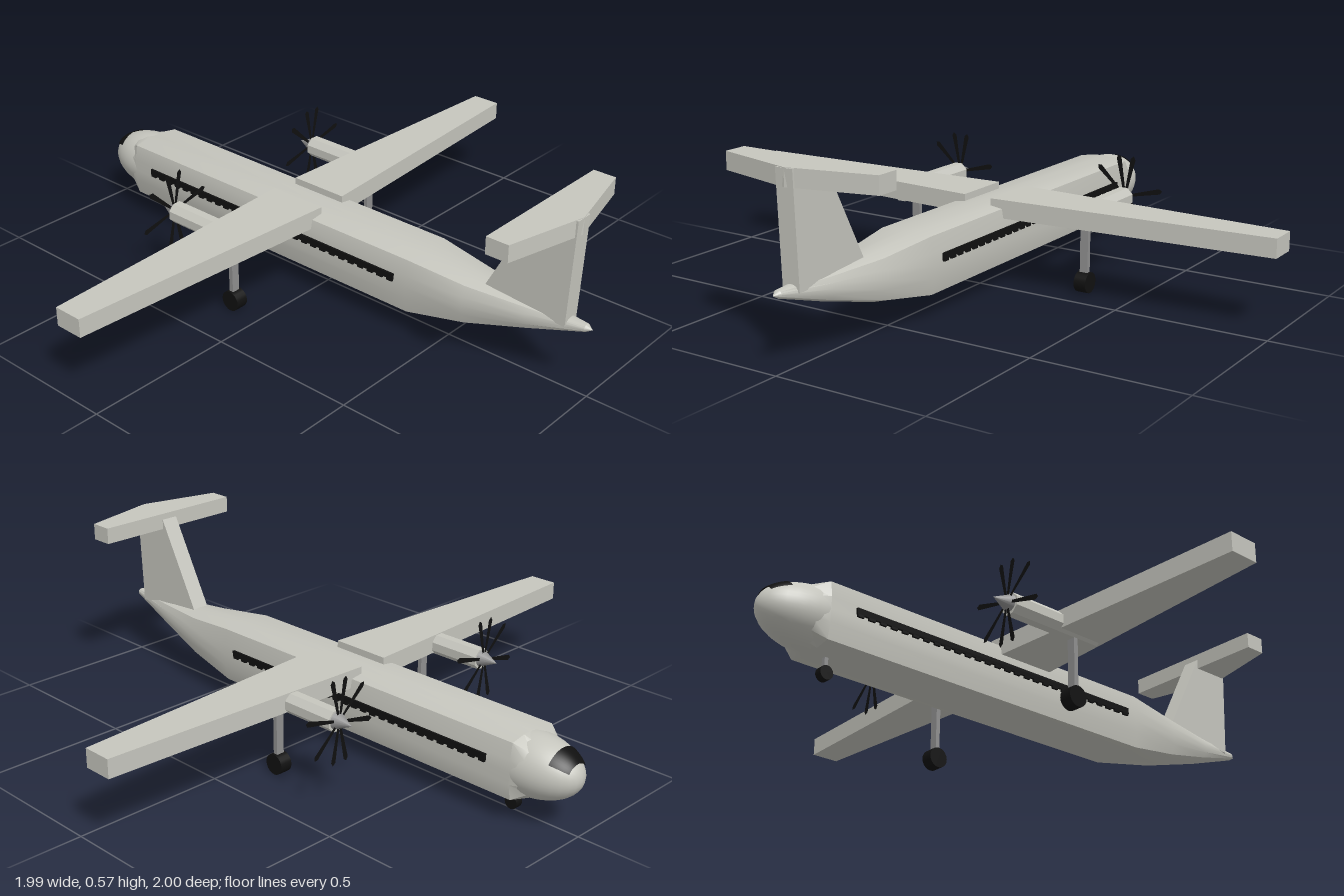
import * as THREE from 'three';
import { toCreasedNormals } from 'three/addons/utils/BufferGeometryUtils.js';

const mat = (name, color, side = THREE.FrontSide) => {
  const m = new THREE.MeshStandardMaterial({ color, side });
  m.name = name;
  return m;
};

// Horizontal slab from an outline of [x, z] points
function slab(points, y0, y1) {
  const shape = new THREE.Shape(points.map(([x, z]) => new THREE.Vector2(x, -z)));
  const g = new THREE.ExtrudeGeometry(shape, { depth: y1 - y0, bevelEnabled: false });
  return g.rotateX(-Math.PI / 2).translate(0, y0, 0);
}

// Vertical slab centred on x = 0 from an outline of [z, y] points
function uprightSlab(points, width) {
  const shape = new THREE.Shape(points.map(([z, y]) => new THREE.Vector2(z, y)));
  const g = new THREE.ExtrudeGeometry(shape, { depth: width, bevelEnabled: false });
  return g.translate(0, 0, -width / 2).rotateY(-Math.PI / 2);
}

// Loft of 16-point rings; s blends from round (0) to boxy (1)
function loft(sections) {
  const quarter = [[1, 0], [1, 0.4], [0.91, 0.91], [0.4, 1]];
  const N = 16, pos = [], index = [];
  for (const [z, rx, bottom, top, s] of sections) {
    for (let k = 0; k < N; k++) {
      let [bx, by] = quarter[k % 4];
      for (let q = 0; q < Math.floor(k / 4); q++) [bx, by] = [-by, bx];
      const a = (k / N) * Math.PI * 2;
      const x = THREE.MathUtils.lerp(Math.cos(a), bx, s);
      const y = THREE.MathUtils.lerp(Math.sin(a), by, s);
      pos.push(x * rx, (top + bottom) / 2 + (y * (top - bottom)) / 2, z);
    }
  }
  for (let i = 0; i < sections.length - 1; i++) {
    for (let k = 0; k < N; k++) {
      const a = i * N + k, b = i * N + ((k + 1) % N);
      index.push(a, b, b + N, a, b + N, a + N);
    }
  }
  const g = new THREE.BufferGeometry();
  g.setAttribute('position', new THREE.Float32BufferAttribute(pos, 3));
  g.setIndex(index);
  return toCreasedNormals(g, 0.5);
}

export function createModel() {
  const grey = mat('paleGrey', 0xc6c6be);
  const black = mat('black', 0x101010);
  const bladeBlack = black.clone();
  bladeBlack.side = THREE.DoubleSide;
  const metal = mat('metalGrey', 0x909090);

  const plane = new THREE.Group();
  plane.name = 'airplane';
  const add = (name, geometry, material, x = 0, y = 0, z = 0, parent = plane) => {
    const m = new THREE.Mesh(geometry, material);
    m.name = name;
    m.position.set(x, y, z);
    parent.add(m);
    return m;
  };

  // Fuselage: boxy tube tapering up into a round tail
  add('fuselage', loft([
    [-0.87, 0.09, 0.085, 0.265, 0],
    [-0.82, 0.1, 0.075, 0.275, 1],
    [0.4, 0.1, 0.075, 0.275, 1],
    [0.6, 0.083, 0.105, 0.258, 0.6],
    [0.8, 0.048, 0.158, 0.247, 0.3],
    [0.98, 0.015, 0.215, 0.24, 0],
    [1, 0, 0.227, 0.227, 0],
  ]), grey);

  // Rounded nose and the cockpit glass lying on it
  const nose = new THREE.SphereGeometry(1, 32, 24).scale(0.1, 0.1, 0.18);
  add('nose', nose, grey, 0, 0.175, -0.82);
  const glass = new THREE.SphereGeometry(1, 16, 8, Math.PI / 2 - 0.92, 1.84, 0.5, 0.44);
  glass.rotateX(-Math.PI / 2).scale(0.103, 0.103, 0.184);
  // keep the patch on the upper side
  glass.computeBoundingBox();
  if (glass.boundingBox.max.y < 0.06) glass.rotateZ(Math.PI);
  add('cockpitWindow', glass, bladeBlack, 0, 0.175, -0.82);

  // Tail fin and tailplane
  add('tailFin', uprightSlab([[0.925, 0.22], [0.636, 0.235], [0.81, 0.568], [0.94, 0.568]], 0.06), grey);
  add('tailplane', slab([[-0.268, 0.8], [0.268, 0.8], [0.268, 0.875], [0, 0.94], [-0.268, 0.875]], 0.515, 0.57), grey);

  // Propeller blades: a flat fan with uneven spacing
  const blade = new THREE.Shape();
  blade.moveTo(0.01, -0.004);
  blade.lineTo(0.13, -0.009);
  blade.lineTo(0.14, 0);
  blade.lineTo(0.13, 0.009);
  blade.lineTo(0.01, 0.004);
  const bladeGeo = new THREE.ShapeGeometry(blade);

  const wheel = (r, w) => new THREE.CylinderGeometry(r, r, w, 20).rotateZ(Math.PI / 2);

  for (const s of [1, -1]) {
    const side = s > 0 ? 'left' : 'right';
    add(side + 'Wing', slab([[s * 0.05, -0.19], [s * 0.995, -0.146], [s * 0.995, -0.048], [s * 0.05, 0.014]], 0.235, 0.296), grey);

    // Row of cabin windows: a band with small teeth below
    add(side + 'WindowBand', new THREE.BoxGeometry(0.008, 0.02, 1.09), black, s * 0.103, 0.196, -0.19);
    for (let i = 0; i < 28; i++) {
      add(side + 'CabinWindow', new THREE.BoxGeometry(0.008, 0.008, 0.022), black, s * 0.103, 0.183, -0.722 + i * 0.0394);
    }

    // Engine with spinner and propeller
    const engine = new THREE.Group();
    engine.name = side + 'Engine';
    engine.position.set(s * 0.33, 0.262, 0);
    plane.add(engine);
    const nacelle = new THREE.CylinderGeometry(0.036, 0.036, 0.34, 8, 1, false, Math.PI / 8).rotateX(Math.PI / 2);
    add('nacelle', toCreasedNormals(nacelle, 0.5), grey, 0, -0.002, -0.19, engine);
    add('spinner', new THREE.ConeGeometry(0.028, 0.062, 16).rotateX(-Math.PI / 2), metal, 0, 0, -0.391, engine);
    for (const angle of [14, 78, 101, 137]) {
      for (const turn of [0, 180]) {
        const b = add('propellerBlade', bladeGeo, bladeBlack, 0, 0, -0.37, engine);
        b.rotation.z = THREE.MathUtils.degToRad(angle + turn);
      }
    }

    // Main landing gear
    add(side + 'GearStrut', new THREE.BoxGeometry(0.028, 0.21, 0.015), metal, s * 0.33, 0.14, -0.108);
    add(side + 'MainWheel', wheel(0.034, 0.042), black, s * 0.33, 0.034, -0.108);
  }

  // Nose gear
  add('noseGearStrut', new THREE.BoxGeometry(0.014, 0.07, 0.012), metal, 0, 0.06, -0.765);
  add('noseWheel', wheel(0.022, 0.026), black, 0, 0.026, -0.765);

  return plane;
}
